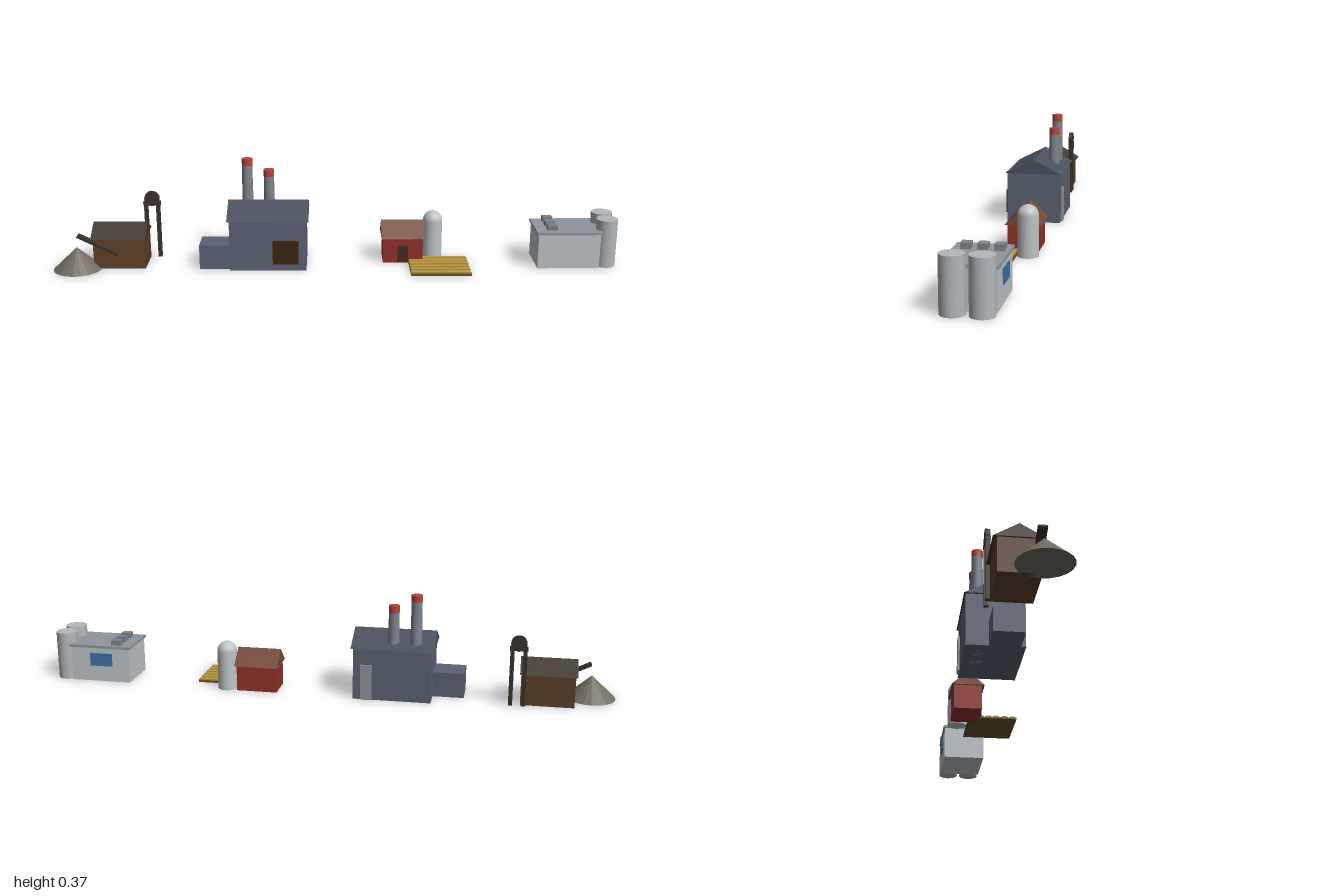
import * as THREE from 'three';

const mat = (color, flatShading = false) => new THREE.MeshStandardMaterial({ color, flatShading });

const M = {
  timber: mat(0x5e4029), darkRoof: mat(0x443c33), iron: mat(0x3a322b), ore: mat(0x716b61, true),
  wall: mat(0x5b6273), slate: mat(0x4a525e), chimney: mat(0x7d848c), red: mat(0xb5473a),
  shutter: mat(0x3c2611), steel: mat(0x8f959a),
  barn: mat(0x913029), barnRoof: mat(0x744a3a), barnDoor: mat(0x4a2a1c), silo: mat(0xbfc3c6),
  soil: mat(0x66532c), crop: mat(0xb8993f),
  render: mat(0xc0c4c8), slab: mat(0x8f969c), vent: mat(0x7c8389), tank: mat(0xb2b7bb), glass: mat(0x3d70a8),
};

function add(group, name, geometry, material, x = 0, y = 0, z = 0) {
  const mesh = new THREE.Mesh(geometry, material);
  mesh.name = name;
  mesh.position.set(x, y, z);
  group.add(mesh);
  return mesh;
}

// Box given by its minimum and maximum on each axis
function box(group, name, material, [x0, x1], [y0, y1], [z0, z1]) {
  return add(group, name, new THREE.BoxGeometry(x1 - x0, y1 - y0, z1 - z0), material,
    (x0 + x1) / 2, (y0 + y1) / 2, (z0 + z1) / 2);
}

// Upright cylinder standing at height y
function cylinder(group, name, material, x, y, z, rTop, rBottom, height, sides = 24) {
  return add(group, name, new THREE.CylinderGeometry(rTop, rBottom, height, sides), material, x, y + height / 2, z);
}

// Solid gable roof with its ridge along x
function gableRoof(group, name, material, [x0, x1], [y0, y1], [z0, z1]) {
  const half = (z1 - z0) / 2;
  const shape = new THREE.Shape();
  shape.moveTo(-half, 0);
  shape.lineTo(half, 0);
  shape.lineTo(0, y1 - y0);
  shape.closePath();
  const geometry = new THREE.ExtrudeGeometry(shape, { depth: x1 - x0, bevelEnabled: false });
  geometry.rotateY(Math.PI / 2);
  return add(group, name, geometry, material, x0, y0, (z0 + z1) / 2);
}

function createMine() {
  const g = new THREE.Group();
  g.name = 'mine';
  box(g, 'mineShed', M.timber, [-0.857, -0.675], [0, 0.113], [-0.08, 0.048]);
  gableRoof(g, 'mineRoof', M.darkRoof, [-0.863, -0.671], [0.111, 0.155], [-0.092, 0.06]);
  // Headframe with its winding wheel
  for (const x of [-0.685, -0.642]) box(g, 'headframePost', M.iron, [x - 0.007, x + 0.007], [0, 0.2], [-0.093, -0.079]);
  box(g, 'headframeBeam', M.iron, [-0.694, -0.633], [0.195, 0.209], [-0.094, -0.078]);
  const wheel = add(g, 'windingWheel', new THREE.CylinderGeometry(0.027, 0.027, 0.014, 20), M.iron, -0.663, 0.22, -0.086);
  wheel.rotation.x = Math.PI / 2;
  // Conveyor tipping onto the ore heap
  const belt = add(g, 'conveyor', new THREE.BoxGeometry(0.155, 0.009, 0.028), M.iron, -0.841, 0.088, 0.042);
  belt.rotation.z = -0.46;
  add(g, 'oreHeap', new THREE.ConeGeometry(0.085, 0.08, 20), M.ore, -0.915, 0.04, 0.045);
  return g;
}

function createFactory() {
  const g = new THREE.Group();
  g.name = 'factory';
  box(g, 'factoryHall', M.wall, [-0.374, -0.104], [0, 0.185], [-0.122, 0.072]);
  gableRoof(g, 'factoryRoof', M.slate, [-0.382, -0.096], [0.181, 0.233], [-0.128, 0.078]);
  box(g, 'annex', M.wall, [-0.482, -0.374], [0, 0.088], [-0.046, 0.056]);
  box(g, 'frontShutter', M.shutter, [-0.222, -0.131], [0.026, 0.111], [0.07, 0.081]);
  box(g, 'backDoor', M.steel, [-0.17, -0.13], [0, 0.125], [-0.128, -0.12]);
  for (const [x, top] of [[-0.316, 0.37], [-0.239, 0.33]]) {
    cylinder(g, 'chimney', M.chimney, x, 0, -0.08, 0.018, 0.023, top - 0.002);
    cylinder(g, 'chimneyBand', M.red, x, top - 0.024, -0.08, 0.019, 0.019, 0.024);
  }
  return g;
}

function createFarm() {
  const g = new THREE.Group();
  g.name = 'farm';
  box(g, 'barn', M.barn, [0.17, 0.313], [0, 0.095], [-0.112, -0.01]);
  gableRoof(g, 'barnRoof', M.barnRoof, [0.164, 0.319], [0.091, 0.146], [-0.122, -0.001]);
  box(g, 'barnDoor', M.barnDoor, [0.222, 0.26], [0, 0.062], [-0.011, -0.006]);
  // Domed grain silo
  const profile = [new THREE.Vector2(0, 0), new THREE.Vector2(0.035, 0)];
  cylinder(g, 'siloWall', M.silo, 0.353, 0, -0.086, 0.035, 0.035, 0.137);
  add(g, 'siloDome', new THREE.SphereGeometry(profile[1].x, 24, 10, 0, Math.PI * 2, 0, Math.PI / 2), M.silo, 0.353, 0.137, -0.086);
  // Field with raised crop rows
  box(g, 'field', M.soil, [0.262, 0.474], [0, 0.007], [-0.05, 0.129]);
  for (let i = 0; i < 6; i++) {
    const z = -0.036 + i * 0.03;
    box(g, 'cropRow', M.crop, [0.264, 0.472], [0.006, 0.012], [z - 0.009, z + 0.009]);
  }
  return g;
}

function createPlant() {
  const g = new THREE.Group();
  g.name = 'processingPlant';
  box(g, 'plantHall', M.render, [0.716, 0.935], [0, 0.127], [-0.105, 0.055]);
  box(g, 'plantRoof', M.slab, [0.71, 0.94], [0.125, 0.134], [-0.11, 0.06]);
  box(g, 'backWindow', M.glass, [0.78, 0.862], [0.058, 0.105], [-0.109, -0.104]);
  for (const z of [-0.08, -0.03, 0.02]) box(g, 'roofVent', M.vent, [0.75, 0.785], [0.133, 0.152], [z - 0.015, z + 0.015]);
  for (const z of [-0.07, 0.015]) cylinder(g, 'storageTank', M.tank, 0.9625, 0, z, 0.0375, 0.0375, 0.172, 28);
  return g;
}

export function createModel() {
  const model = new THREE.Group();
  model.name = 'industrySites';
  model.add(createMine(), createFactory(), createFarm(), createPlant());
  return model;
}
